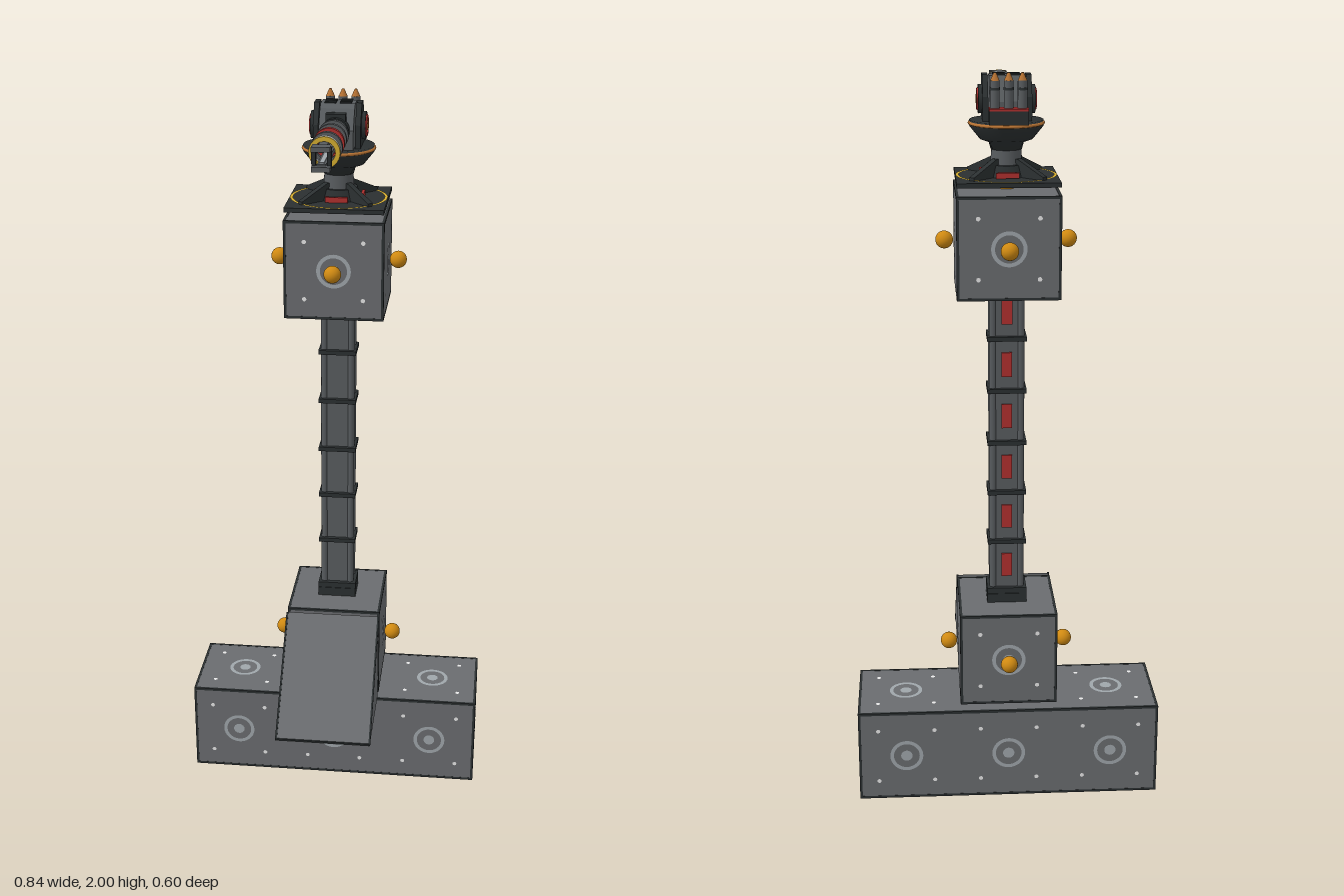
import * as THREE from 'three';
import { RoundedBoxGeometry } from 'three/addons/geometries/RoundedBoxGeometry.js';

const mat = (name, color, side = THREE.FrontSide) => {
  const m = new THREE.MeshStandardMaterial({ color, side });
  m.name = name;
  return m;
};
const M = {
  body: mat('body grey', 0x6a6c6f),
  mid: mat('column grey', 0x585c5f),
  dark: mat('dark trim', 0x2b3031),
  steel: mat('light steel', 0x9fa6ab),
  white: mat('white rivet', 0xf0f0f0),
  gold: mat('gold', 0xd08a12),
  yellow: mat('yellow', 0xd4ac30),
  red: mat('red', 0xb0302e),
  copper: mat('copper', 0xb87333),
};
const ZC = -0.118;   // tower axis
const S = 0.265;     // block edge
const H = S / 2;

function add(parent, name, geo, m, x = 0, y = 0, z = 0, rx = 0, ry = 0, rz = 0) {
  const mesh = new THREE.Mesh(geo, m);
  mesh.name = name;
  mesh.position.set(x, y, z);
  mesh.rotation.set(rx, ry, rz);
  parent.add(mesh);
  return mesh;
}
const box = (w, h, d) => new THREE.BoxGeometry(w, h, d);
const cyl = (a, b, h, n = 24) => new THREE.CylinderGeometry(a, b, h, n);
function group(parent, name, x = 0, y = 0, z = 0) {
  const g = new THREE.Group();
  g.name = name;
  g.position.set(x, y, z);
  parent.add(g);
  return g;
}

// Orientation of each block face: [name, rx, ry]
const FACES = [
  ['front', 0, 0], ['back', 0, Math.PI], ['left', 0, Math.PI / 2],
  ['right', 0, -Math.PI / 2], ['top', -Math.PI / 2, 0], ['bottom', Math.PI / 2, 0],
];

// Ring, hub and four rivets on one face of a cell
function socket(parent, face, x) {
  const [name, rx, ry] = face;
  const g = group(parent, name + 'Socket', x, 0, 0);
  g.rotation.set(rx, ry, 0);
  const z = H + 0.0015;
  add(g, 'socketRing', new THREE.RingGeometry(0.036, 0.046, 32), M.steel, 0, 0, z);
  add(g, 'socketHub', new THREE.CircleGeometry(0.016, 20), M.steel, 0, 0, z);
  for (const sx of [-1, 1]) for (const sy of [-1, 1])
    add(g, 'rivet', new THREE.CircleGeometry(0.006, 10), M.white, sx * 0.078, sy * 0.078, z);
}

// Armoured block with dark edge trim
function block(parent, name, width, y) {
  const g = group(parent, name, 0, y, ZC);
  add(g, 'shell', new RoundedBoxGeometry(width, S, S, 2, 0.006), M.body);
  const t = 0.007, w = width / 2 - 0.003, h = H - 0.003;
  for (const a of [-1, 1]) for (const b of [-1, 1]) {
    add(g, 'edgeTrim', box(width, t, t), M.dark, 0, a * h, b * h);
    add(g, 'edgeTrim', box(t, S, t), M.dark, a * w, 0, b * h);
    add(g, 'edgeTrim', box(t, t, S), M.dark, a * w, b * h, 0);
  }
  return g;
}
const ball = (p, x, y, z) => add(p, 'connectorBall', new THREE.SphereGeometry(0.023, 24, 16), M.gold, x, y, z);
function sideBalls(g) {
  for (const s of [-1, 1]) {
    ball(g, s * 0.161, 0, 0);
    ball(g, 0, 0, s * 0.161);
  }
}

// Prism from a side outline [z, y], extruded across x
function sidePrism(points, width) {
  const s = new THREE.Shape(points.map(([z, y]) => new THREE.Vector2(-z, y)));
  const g = new THREE.ExtrudeGeometry(s, { depth: width, bevelEnabled: false });
  g.translate(0, 0, -width / 2);
  g.rotateY(Math.PI / 2);
  return g;
}

function buildColumn(root) {
  const g = group(root, 'column', 0, 0, ZC);
  add(g, 'columnCore', box(0.08, 0.88, 0.06), M.mid, 0, 0.995, 0);
  for (const sx of [-1, 1]) for (const sz of [-1, 1])
    add(g, 'cornerPost', cyl(0.01, 0.01, 0.88, 8), M.mid, sx * 0.037, 0.995, sz * 0.024);
  for (const y of [0.735, 0.878, 1.02, 1.165, 1.308])
    add(g, 'columnBand', box(0.104, 0.012, 0.084), M.dark, 0, y, 0);
  for (const [y, h] of [[0.568, 0.026], [0.59, 0.016], [1.425, 0.022]])
    add(g, 'columnCollar', box(0.108, h, 0.086), M.dark, 0, y, 0);
  for (let i = 0; i < 6; i++)
    add(g, 'redPanel', box(0.028, 0.066, 0.006), M.red, 0, 0.664 + i * 0.1432, -0.032);
}

function buildPedestal(root) {
  const g = group(root, 'turretPedestal', 0, 0, ZC);
  add(g, 'basePlate', box(0.262, 0.012, 0.262), M.dark, 0, 1.727, 0);
  add(g, 'yellowRing', new THREE.RingGeometry(0.122, 0.13, 56), M.yellow, 0, 1.7345, 0, -Math.PI / 2);
  add(g, 'foot', cyl(0.05, 0.06, 0.03, 16), M.dark, 0, 1.748, 0);
  add(g, 'neck', cyl(0.038, 0.042, 0.08), M.mid, 0, 1.775, 0);
  const fin = new THREE.Shape([[0.03, 0], [0.13, 0], [0.13, 0.008], [0.045, 0.045], [0.03, 0.045]]
    .map(([x, y]) => new THREE.Vector2(x, y)));
  const finGeo = new THREE.ExtrudeGeometry(fin, { depth: 0.016, bevelEnabled: false });
  finGeo.translate(0, 0, -0.008);
  for (let i = 0; i < 4; i++) {
    const a = i * Math.PI / 2;
    add(g, 'gusset', finGeo, M.dark, 0, 1.733, 0, 0, a + Math.PI / 4);
    add(g, 'redFootPlate', box(0.06, 0.014, 0.008), M.red, Math.sin(a) * 0.064, 1.741, Math.cos(a) * 0.064, 0, a);
  }
  // Flared dish carrying the gun
  const dish = [[0, 1.79], [0.04, 1.80], [0.045, 1.818], [0.068, 1.826], [0.094, 1.858], [0.094, 1.874], [0, 1.878]]
    .map(([x, y]) => new THREE.Vector2(x, y));
  add(g, 'dish', new THREE.LatheGeometry(dish, 40), M.dark);
  add(g, 'dishRim', new THREE.TorusGeometry(0.094, 0.004, 8, 48), M.copper, 0, 1.866, 0, Math.PI / 2);
}

function buildGun(root) {
  const g = group(root, 'gun', 0, 1.925, 0);
  // Housing
  add(g, 'housing', sidePrism([[-0.04, -0.05], [-0.04, 0], [-0.075, 0.05], [-0.092, 0.06],
    [-0.145, 0.06], [-0.185, 0], [-0.185, -0.05]], 0.09), M.mid);
  for (const s of [-1, 1]) {
    for (let i = 0; i < 3; i++)
      add(g, 'roofVent', box(0.03, 0.004, 0.012), M.dark, s * 0.02, 0.061, -0.098 - i * 0.02);
    add(g, 'sidePlate', sidePrism([[-0.06, -0.05], [-0.06, 0.01], [-0.095, 0.062], [-0.135, 0.062],
      [-0.17, 0.01], [-0.17, -0.05]], 0.014), M.dark, s * 0.055);
    add(g, 'pivotDisc', cyl(0.036, 0.036, 0.012), M.dark, s * 0.066, 0, ZC, 0, 0, Math.PI / 2);
    add(g, 'pivotRing', new THREE.TorusGeometry(0.025, 0.004, 8, 28), M.red, s * 0.072, 0, ZC, 0, Math.PI / 2);
    add(g, 'pivotCap', cyl(0.012, 0.012, 0.008, 16), M.copper, s * 0.073, 0, ZC, 0, 0, Math.PI / 2);
  }
  add(g, 'sightBox', box(0.052, 0.028, 0.026), M.dark, 0, 0.03, -0.043);
  add(g, 'barrelMount', cyl(0.036, 0.036, 0.03), M.dark, 0, 0, -0.03, Math.PI / 2);

  // Twin rails held by rings
  for (const s of [-1, 1]) {
    add(g, 'rail', box(0.022, 0.011, 0.31), M.mid, 0, s * 0.02, 0.125);
    add(g, 'railLiner', box(0.012, 0.004, 0.3), M.steel, 0, s * 0.0135, 0.125);
    add(g, 'muzzleJaw', box(0.046, 0.012, 0.034), M.mid, 0, s * 0.024, 0.281);
    add(g, 'muzzleCheek', box(0.01, 0.05, 0.018), M.dark, s * 0.019, 0, 0.272);
  }
  const ringShape = new THREE.Shape().absarc(0, 0, 0.039, 0, Math.PI * 2, false);
  ringShape.holes.push(new THREE.Path().absarc(0, 0, 0.027, 0, Math.PI * 2, true));
  const ringGeo = d => new THREE.ExtrudeGeometry(ringShape, { depth: d, bevelEnabled: false, curveSegments: 16 })
    .translate(0, 0, -d / 2);
  [[0.018, M.mid], [0.065, M.mid], [0.113, M.red], [0.16, M.mid], [0.207, M.steel]].forEach(([z, m]) =>
    add(g, 'barrelRing', ringGeo(0.014), m, 0, 0, z));
  add(g, 'yellowBarrelRing', ringGeo(0.005), M.yellow, 0, 0, 0.2165);

  // Missile rack
  add(g, 'rackArm', box(0.06, 0.024, 0.05), M.dark, 0, -0.036, -0.2);
  add(g, 'rackBox', box(0.098, 0.034, 0.042), M.dark, 0, -0.034, -0.22);
  add(g, 'rackLid', box(0.098, 0.006, 0.042), M.red, 0, -0.014, -0.22);
  for (let i = -1; i <= 1; i++) {
    add(g, 'missileBody', cyl(0.012, 0.012, 0.068, 14), M.mid, i * 0.034, 0.022, -0.22);
    add(g, 'missileBand', cyl(0.013, 0.013, 0.006, 14), M.dark, i * 0.034, 0.036, -0.22);
    add(g, 'missileTip', cyl(0.003, 0.012, 0.02, 14), M.copper, i * 0.034, 0.065, -0.22);
  }
}

export function createModel() {
  const root = new THREE.Group();
  root.name = 'turretTower';

  // Long base of three cells
  const base = block(root, 'base', 0.835, 0.135);
  for (const x of [-0.285, 0, 0.285])
    for (const f of FACES) {
      if ((f[0] === 'left' && x <= 0) || (f[0] === 'right' && x >= 0)) continue;
      socket(base, f, x);
    }

  // Lower and upper cubes
  for (const [name, y] of [['lowerBlock', 0.423], ['upperBlock', 1.567]]) {
    const b = block(root, name, S, y);
    FACES.forEach(f => f[0] !== 'top' && socket(b, f, 0));
    sideBalls(b);
  }
  ball(root, 0, 0.28, ZC);
  ball(root, 0, 1.71, ZC);

  // Front wedge
  const wedge = group(root, 'wedge');
  add(wedge, 'wedgeShell', sidePrism([[0.3, 0.29], [0.036, 0.554], [0.036, 0.29]], 0.264), M.body);
  add(wedge, 'wedgeLip', box(0.266, 0.005, 0.006), M.dark, 0, 0.2925, 0.296);
  for (const s of [-1, 1])
    add(wedge, 'wedgeEdge', box(0.005, 0.005, 0.37), M.dark, s * 0.131, 0.422, 0.168, Math.PI / 4);

  buildColumn(root);
  buildPedestal(root);
  buildGun(root);
  return root;
}
